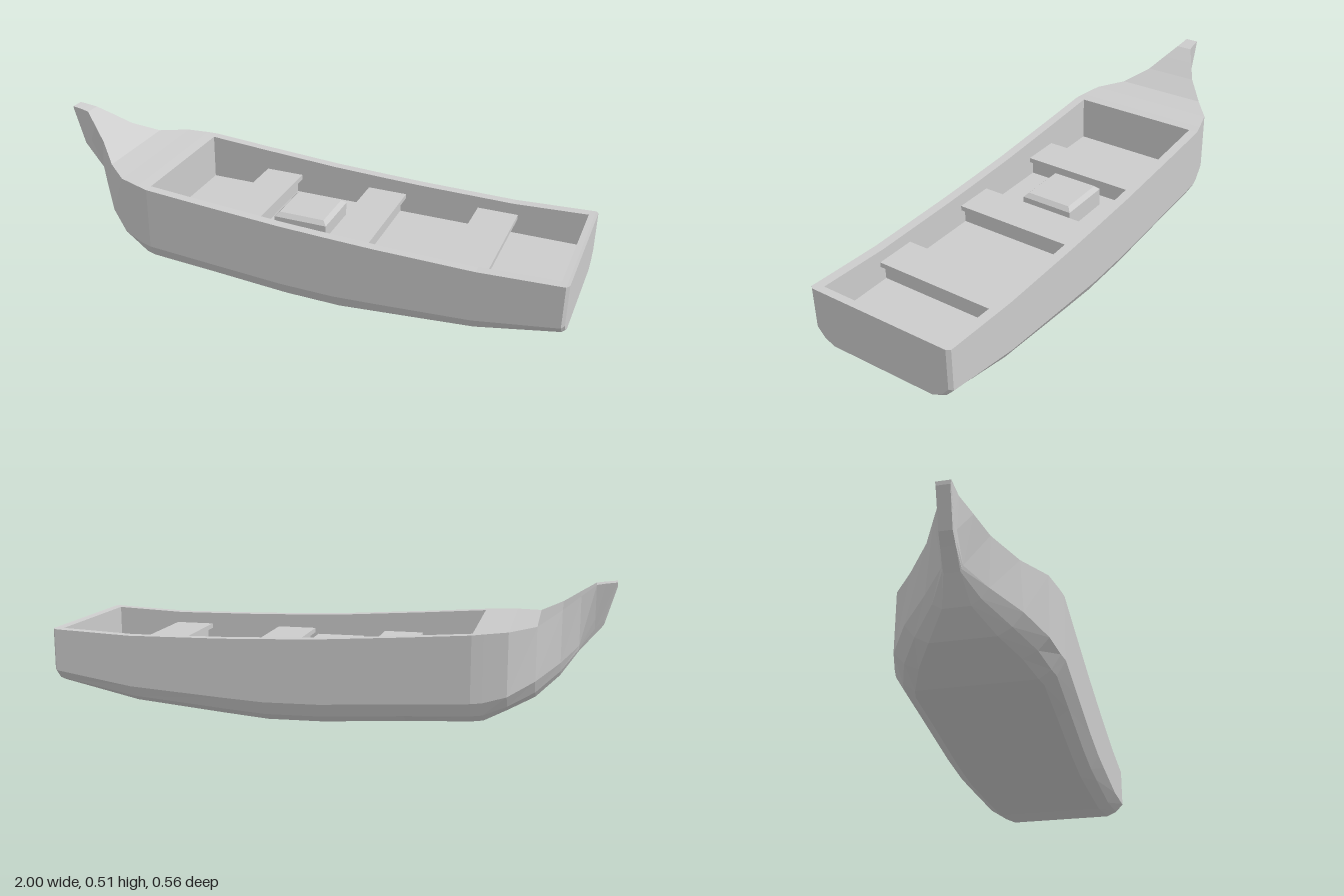
import * as THREE from 'three';

const FLOOR = 0.18;    // height of the boat's floor
const INNER = 0.245;   // half width of the open well
const SIDE = 0.28;     // half width of the parallel sides
const BOTTOM = 0.21;   // half width of the flat bottom

// Tapering bow: [x, keelY, keelHalf, chineY, chineHalf, topY, topHalf]
const BOW = [
  [-1.00, 0.495, 0.022, 0.505, 0.024, 0.51, 0.025],
  [-0.96, 0.36, 0.022, 0.42, 0.025, 0.505, 0.027],
  [-0.93, 0.325, 0.024, 0.38, 0.026, 0.50, 0.03],
  [-0.88, 0.265, 0.026, 0.285, 0.034, 0.464, 0.063],
  [-0.82, 0.18, 0.045, 0.235, 0.1, 0.42, 0.102],
  [-0.74, 0.113, 0.108, 0.185, 0.188, 0.372, 0.177],
  [-0.65, 0.075, 0.165, 0.14, 0.25, 0.362, 0.25],
  [-0.57, 0.041, 0.20, 0.12, 0.271, 0.356, 0.271],
];

// Parallel middle with the open well: [x, keelY, chineY, topY]
const MIDDLE = [
  [-0.53, 0.038, 0.117, 0.352],
  [-0.30, 0.025, 0.102, 0.335],
  [0.00, 0.004, 0.083, 0.315],
  [0.20, 0.001, 0.08, 0.307],
  [0.35, 0.013, 0.088, 0.302],
  [0.70, 0.044, 0.11, 0.297],
  [0.97, 0.101, 0.152, 0.308],
];

// Closed cross-section: outside of one side, gunwale, floor, then the mirrored side
function section([x, keelY, keelZ, chineY, chineZ, topY, topZ], open = false) {
  const inner = Math.min(INNER, topZ * 0.885);
  const half = [
    [keelY, keelZ],
    [THREE.MathUtils.lerp(keelY, chineY, 0.36), THREE.MathUtils.lerp(keelZ, chineZ, 0.57)],
    [chineY, chineZ],
    [topY, topZ],
    [topY, inner],
    [open ? FLOOR : topY, inner],
  ];
  const other = half.map(([y, z]) => [y, -z]).reverse();
  return [...half, ...other].map(([y, z]) => [x, y, z]);
}

function hullGeometry() {
  const middle = MIDDLE.map(([x, keelY, chineY, topY]) => [x, keelY, BOTTOM, chineY, SIDE, topY, SIDE]);
  // Closed and open sections at the same x form the end walls of the well
  const rings = [
    ...BOW.map((s) => section(s)),
    section(middle[0]),
    ...middle.map((s) => section(s, true)),
    section(middle[middle.length - 1]),
    section([0.99, 0.105, BOTTOM, 0.155, SIDE, 0.309, SIDE]),
    section([1, 0.109, 0.203, 0.16, 0.267, 0.31, 0.267]),
  ];
  const n = rings[0].length;
  const pos = [];
  const tri = (a, b, c) => pos.push(...a, ...b, ...c);
  for (let i = 0; i < rings.length - 1; i++) {
    for (let j = 0; j < n; j++) {
      const k = (j + 1) % n;
      const [a, b, c, d] = [rings[i][j], rings[i + 1][j], rings[i + 1][k], rings[i][k]];
      tri(a, b, c);
      tri(a, c, d);
    }
  }
  // Stem tip and transom
  const stem = rings[0], transom = rings[rings.length - 1];
  for (let j = 1; j < n - 1; j++) {
    tri(stem[0], stem[j], stem[j + 1]);
    tri(transom[0], transom[j + 1], transom[j]);
  }
  const geo = new THREE.BufferGeometry();
  geo.setAttribute('position', new THREE.Float32BufferAttribute(pos, 3));
  geo.computeVertexNormals();
  return geo;
}

export function createModel() {
  const boat = new THREE.Group();
  boat.name = 'rowingBoat';
  const mat = new THREE.MeshStandardMaterial({ color: 0xcccccc, flatShading: true });

  const add = (parent, name, geo, x, y) => {
    const mesh = new THREE.Mesh(geo, mat);
    mesh.name = name;
    mesh.position.set(x, y, 0);
    parent.add(mesh);
  };
  // Box standing between two heights
  const slab = (parent, name, w, y0, y1, d, x) =>
    add(parent, name, new THREE.BoxGeometry(w, y1 - y0, d), x, (y0 + y1) / 2);

  add(boat, 'hull', hullGeometry(), 0, 0);

  // Benches: a plank on a narrower support
  [-0.215, 0.215, 0.645].forEach((x, i) => {
    const bench = new THREE.Group();
    bench.name = `bench${i + 1}`;
    slab(bench, 'benchPlank', 0.15, 0.237, 0.255, INNER * 2, x);
    slab(bench, 'benchSupport', 0.11, FLOOR - 0.01, 0.237, INNER * 2, x);
    boat.add(bench);
  });

  // Hatch: square box with a bevelled lid
  const hatch = new THREE.Group();
  hatch.name = 'hatch';
  slab(hatch, 'hatchBase', 0.204, FLOOR - 0.01, 0.248, 0.204, 0);
  const lid = new THREE.CylinderGeometry(0.087 * Math.SQRT2, 0.102 * Math.SQRT2, 0.015, 4);
  lid.rotateY(Math.PI / 4);
  add(hatch, 'hatchLid', lid, 0, 0.2555);
  boat.add(hatch);

  return boat;
}
